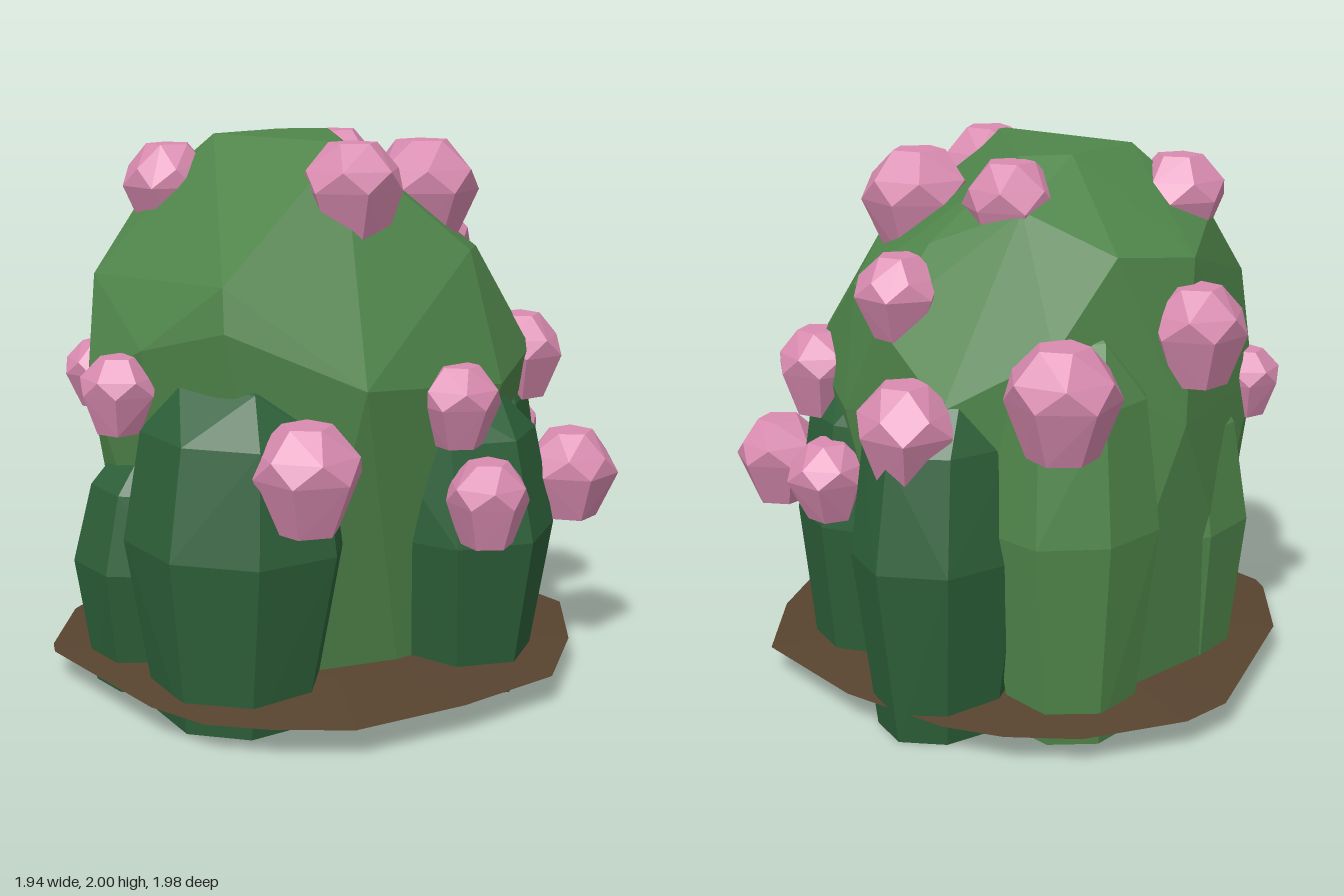
import * as THREE from 'three';
import { ConvexGeometry } from 'three/addons/geometries/ConvexGeometry.js';

const mat = (name, color) => {
  const m = new THREE.MeshStandardMaterial({ color });
  m.name = name;
  return m;
};

// Small seeded generator for uneven facets
let seed = 7;
const rand = () => {
  seed = (seed * 16807) % 2147483647;
  return seed / 2147483647;
};
const jitter = (a) => 1 + (rand() - 0.5) * 2 * a;

// Points of one uneven ring
function ring(x, y, z, rx, rz, n, phase, j = 0.05) {
  const pts = [];
  for (let i = 0; i < n; i++) {
    const a = phase + (i / n) * Math.PI * 2;
    const k = jitter(j);
    pts.push(new THREE.Vector3(x + Math.cos(a) * rx * k, y, z + Math.sin(a) * rz * k));
  }
  return pts;
}

function hull(name, pts, material) {
  const mesh = new THREE.Mesh(new ConvexGeometry(pts), material);
  mesh.name = name;
  return mesh;
}

export function createModel() {
  seed = 7;
  const group = new THREE.Group();
  group.name = 'floweringCactus';
  const light = mat('lightGreen', 0x50864b);
  const dark = mat('darkGreen', 0x2d6039);
  const pink = mat('pink', 0xd98bb0);
  const brown = mat('soilBrown', 0x57432f);

  // Soil disc: a thin rim, slightly raised above and sloping under
  const rim = [
    [0, -1], [0.2, -0.99], [0.55, -0.82], [0.73, -0.62], [0.83, -0.42], [0.91, 0], [0.88, 0.5],
    [0.6, 0.78], [0.27, 0.98], [-0.15, 0.95], [-0.57, 0.85], [-0.78, 0.66], [-0.92, 0.48],
    [-0.97, 0.25], [-0.94, -0.4], [-0.9, -0.47], [-0.63, -0.73],
  ];
  const soil = [];
  for (const [x, z] of rim) {
    soil.push(new THREE.Vector3(x, 0.115, z));
    soil.push(new THREE.Vector3(x * 0.6, 0.14, z * 0.6));
    soil.push(new THREE.Vector3(x * 0.6, 0.015, z * 0.6));
  }
  group.add(hull('soil', soil, brown));

  // Central dome
  const dome = [
    [-0.25, 2, -0.28], [0.1, 2, -0.32], [0.26, 2, -0.22], [-0.18, 2, 0.35],
    [-0.13, 1.66, -0.69], [0.2, 1.7, -0.63], [-0.4, 1.76, -0.53], [0.4, 1.85, -0.38],
    [0.55, 1.72, -0.08], [0.72, 1.45, 0], [0.66, 1.55, 0.2], [0.57, 1.22, 0.57],
    [0.25, 1.15, 0.72], [-0.35, 1.2, 0.66], [0.2, 1.62, 0.6], [-0.7, 1.55, 0.33],
    [-0.72, 1.4, 0.36], [-0.8, 1.3, 0], [-0.8, 1.15, -0.33], [-0.66, 1.5, -0.48],
    [-0.6, 1.1, -0.6], [0.72, 1.1, 0.2], [0.7, 1.2, -0.3], [0.45, 1.4, -0.58], [0, 1.1, -0.78],
  ].map((p) => new THREE.Vector3(...p));
  dome.push(...ring(-0.03, 0.6, -0.1, 0.67, 0.68, 9, 0.2, 0.03));
  dome.push(...ring(-0.03, 0, -0.1, 0.6, 0.62, 9, 0.2, 0.03));
  group.add(hull('dome', dome, light));

  // Bulging side stems: x, z, radius in x, radius in z, height, material
  const profile = [[0, 0.72], [0.5, 1], [0.8, 0.88], [0.93, 0.58], [1, 0.15]];
  const stems = [
    ['frontStem', 0.25, 0.5, 0.36, 0.4, 1.2, dark],
    ['frontLeftStem', 0.5, 0.33, 0.29, 0.32, 1.27, dark],
    ['leftStem', 0.62, -0.2, 0.36, 0.3, 1.33, dark],
    ['rightStem', -0.58, 0.22, 0.39, 0.43, 1.28, dark],
    ['rightLowStem', -0.6, -0.22, 0.33, 0.3, 0.95, dark],
    ['backLeftStem', 0.3, -0.52, 0.33, 0.33, 1.53, light],
    ['backRightStem', -0.28, -0.48, 0.33, 0.31, 1.25, light],
  ];
  stems.forEach(([name, x, z, rx, rz, h, material], i) => {
    const pts = [];
    // Upper rings lean in toward the dome
    for (const [t, s] of profile) {
      const lean = 1 - 0.12 * t * t;
      pts.push(...ring(x * lean, t * h, z * lean, rx * s, rz * s, t > 0.9 ? 5 : 8, i * 0.7, 0.03));
    }
    group.add(hull(name, pts, material));
  });

  // Faceted blossoms: x, y, z, radius
  const blossoms = [
    [-0.1, 1.4, -0.73, 0.18], [-0.58, 1.1, -0.58, 0.13], [-0.35, 1.8, -0.42, 0.17],
    [0.5, 1.27, -0.67, 0.2], [0.32, 1.83, -0.24, 0.17], [0.78, 1.12, -0.2, 0.18],
    [0.64, 1.54, -0.02, 0.15], [0.31, 1.79, 0.25, 0.2], [-0.16, 1.83, 0.38, 0.18],
    [-0.84, 1.14, -0.08, 0.14], [-0.57, 0.93, 0.6, 0.19], [0.07, 0.77, 0.83, 0.155],
    [0.62, 0.76, 0.74, 0.17], [0.62, 1.17, 0.47, 0.165], [0.74, 0.82, 0.28, 0.15],
    [0.05, 1.1, 0.7, 0.15],
  ];
  blossoms.forEach(([x, y, z, r], i) => {
    const p = i * 1.3;
    const pts = [
      ...ring(0, -0.95 * r, 0, 0.6 * r, 0.6 * r, 6, p, 0.06),
      ...ring(0, 0.05 * r, 0, r, r, 6, p, 0.06),
      ...ring(0, 0.45 * r, 0, 0.92 * r, 0.92 * r, 6, p + 0.5, 0.06),
      ...ring(0, 0.95 * r, 0, 0.48 * r, 0.48 * r, 5, p, 0.06),
    ];
    const flower = hull('blossom', pts, pink);
    flower.position.set(x, y, z);
    group.add(flower);
  });

  return group;
}
